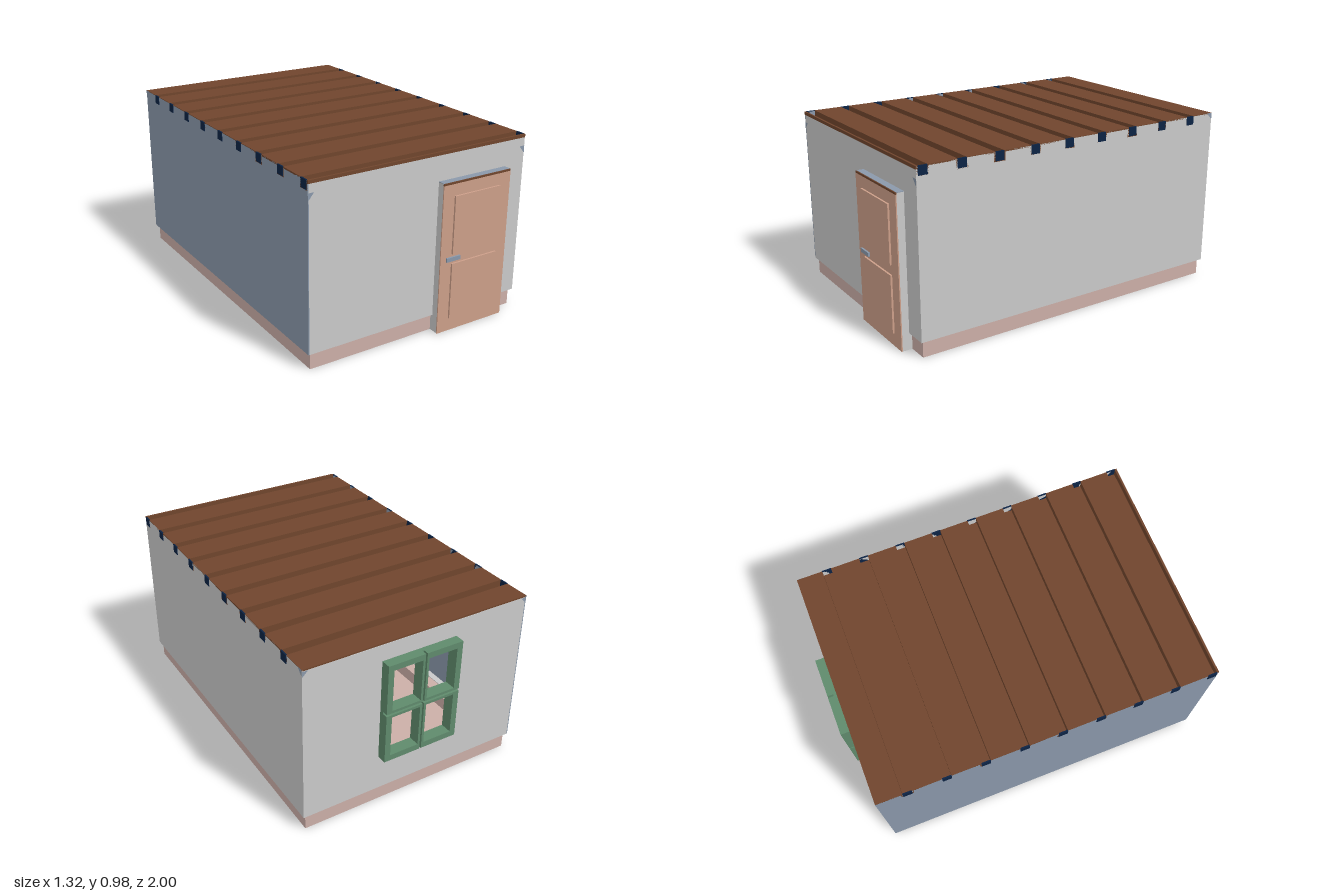
import * as THREE from 'three';

const mat = (name, color) => {
  const m = new THREE.MeshStandardMaterial({ color, side: THREE.DoubleSide });
  m.name = name;
  return m;
};

export function createModel() {
  const model = new THREE.Group();
  model.name = 'cabin';
  const grey = mat('wallGrey', 0xc9c9c9), blue = mat('slateBlue', 0x8a98aa);
  const pink = mat('plinthPink', 0xcbaea7), brown = mat('roofBrown', 0x70452d);
  const peach = mat('doorPeach', 0xcc9f89), green = mat('windowGreen', 0x5f8a6c);
  const navy = mat('capNavy', 0x0c2344);

  const add = (name, geo, material, parent = model) => {
    const mesh = new THREE.Mesh(geo, material);
    mesh.name = name;
    parent.add(mesh);
    return mesh;
  };
  // box given by its two extreme corners
  const box = (name, material, [x0, y0, z0], [x1, y1, z1], parent) => {
    const mesh = add(name, new THREE.BoxGeometry(x1 - x0, y1 - y0, z1 - z0), material, parent);
    mesh.position.set((x0 + x1) / 2, (y0 + y1) / 2, (z0 + z1) / 2);
    return mesh;
  };
  const rect = (x0, y0, x1, y1, Type = THREE.Shape) => new Type([
    [x0, y0], [x1, y0], [x1, y1], [x0, y1]].map(p => new THREE.Vector2(...p)));
  // rectangle with rectangular holes, extruded from z0 to z1
  const frame = (name, material, outer, holes, z0, z1, parent) => {
    const shape = rect(...outer);
    holes.forEach(h => shape.holes.push(rect(...h, THREE.Path)));
    const geo = new THREE.ExtrudeGeometry(shape, { depth: z1 - z0, bevelEnabled: false });
    return add(name, geo.translate(0, 0, z0), material, parent);
  };

  const W = 0.657, D = 0.945, top = 0.979, T = 0.005;

  // plinth: a shallow tray with a wide ledge
  const plinth = frame('plinth', pink, [-0.64, -0.93, 0.64, 0.93],
    [[-0.55, -0.84, 0.55, 0.84]], 0, 0.09);
  plinth.geometry.rotateX(-Math.PI / 2);
  box('floor', pink, [-0.6, 0.001, -0.88], [0.6, 0.015, 0.88]);

  // walls
  box('rightWall', blue, [-W, 0.09, -D], [-W + T, top, D]);
  box('leftWall', grey, [W - T, 0.09, -D], [W, top, D]);
  box('frontWall', grey, [-W + T, 0.09, D - T], [W - T, 0.965, D]);
  frame('backWall', grey, [-W + T, 0.09, W - T, 0.972],
    [[-0.19, 0.33, 0.19, 0.85]], -D, -D + T);
  for (const s of [-1, 1]) box('wallFoot', grey,
    [s * 0.635 - 0.02, 0.09, -D + T], [s * 0.635 + 0.02, 0.094, D - T]);

  // ribbed roof sheet with square channels running across
  const channels = Array.from({ length: 9 }, (_, i) => -0.777 + i * 0.211);
  const h = 0.025, t = 0.008, yT = 0.982, yB = 0.938;
  const upper = [[-D, yT]], lower = [[-D, yT - t]];
  for (const c of channels) {
    upper.push([c - h, yT], [c - h, yB], [c + h, yB], [c + h, yT]);
    lower.push([c - h - t, yT - t], [c - h - t, yB - t], [c + h + t, yB - t], [c + h + t, yT - t]);
  }
  upper.push([D, yT]);
  lower.push([D, yT - t]);
  const profile = new THREE.Shape([...upper, ...lower.reverse()].map(p => new THREE.Vector2(...p)));
  const sheet = new THREE.ExtrudeGeometry(profile, { depth: 2 * W, bevelEnabled: false });
  add('roofSheet', sheet.translate(0, 0, -W).rotateY(-Math.PI / 2), brown);
  box('frontFascia', brown, [-W, 0.965, D - T], [W, yT, D + 0.002]);

  // dark caps closing both ends of each channel
  for (const c of channels) for (const s of [-1, 1]) {
    const x = s * (W - 0.001);
    box('channelCap', navy, [x - 0.004, 0.934, c - h], [x + 0.004, yT, c + h]);
  }

  // small triangular corner plates
  const chip = (a, b, c) => {
    const geo = new THREE.BufferGeometry().setFromPoints([a, b, c].map(p => new THREE.Vector3(...p)));
    geo.computeVertexNormals();
    add('cornerPlate', geo, blue);
  };
  for (const s of [-1, 1]) {
    const x = s * W, i = s * (W - 0.033);
    chip([x, 0.88, D + 0.001], [x, 0.92, D + 0.001], [i, 0.92, D + 0.001]);
    chip([x, 0.94, -D - 0.001], [x, 0.972, -D - 0.001], [i, 0.972, -D - 0.001]);
    chip([x + s * 0.001, 0.945, -D], [x + s * 0.001, yT, -D], [x + s * 0.001, yT, -D + 0.037]);
  }

  // door with two raised panels and a handle
  const door = new THREE.Group();
  door.name = 'door';
  model.add(door);
  box('doorCasing', grey, [0.097, 0, 0.93], [0.53, 0.826, 0.984], door);
  box('doorLeaf', peach, [0.095, 0, 0.984], [0.53, 0.818, 0.99], door);
  box('doorTopTrim', brown, [0.095, 0.818, 0.984], [0.53, 0.828, 0.99], door);
  box('doorTop', blue, [0.097, 0.826, D], [0.53, 0.829, 0.984], door);
  for (const [y0, y1] of [[0.073, 0.387], [0.44, 0.755]])
    box('doorPanel', peach, [0.165, y0, 0.99], [0.46, y1, 1], door);
  box('doorHandle', blue, [0.13, 0.402, 0.99], [0.217, 0.424, 1], door);

  // window: a crossed frame carrying four sashes split by narrow gaps
  const win = new THREE.Group();
  win.name = 'window';
  model.add(win);
  const panes = [];
  for (const s of [-1, 1]) for (const [y0, y1, m0, m1] of
    [[0.3, 0.584, 0.033, 0.014], [0.596, 0.88, 0.014, 0.033]]) {
    const [x0, x1] = s < 0 ? [-0.22, -0.005] : [0.005, 0.22];
    const [n0, n1] = s < 0 ? [0.033, 0.013] : [0.013, 0.033];
    const hole = [x0 + n0, y0 + m0, x1 - n1, y1 - m1];
    panes.push(hole);
    frame('windowSash', green, [x0, y0, x1, y1], [hole], -1, -0.968, win);
  }
  frame('windowFrame', green, [-0.22, 0.3, 0.22, 0.88], panes, -0.968, -0.935, win);

  return model;
}
